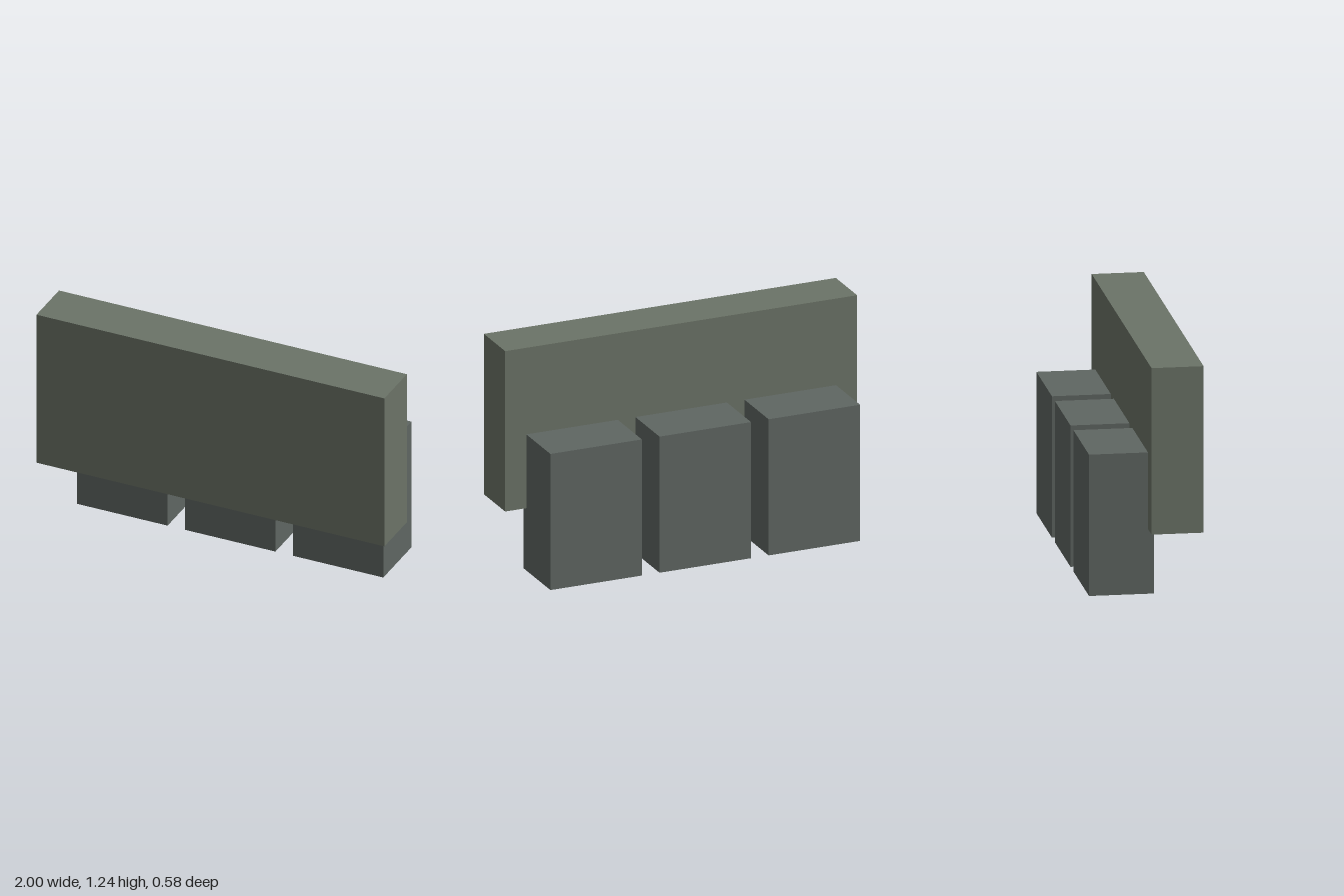
import * as THREE from 'three';

// Box given by its min and max corners
function block(name, min, max, color) {
  const size = max.map((v, i) => v - min[i]);
  const mesh = new THREE.Mesh(
    new THREE.BoxGeometry(...size),
    new THREE.MeshStandardMaterial({ color })
  );
  mesh.position.set(...min.map((v, i) => (v + max[i]) / 2));
  mesh.name = name;
  return mesh;
}

export function createModel() {
  const model = new THREE.Group();
  model.name = 'panelWithBlocks';

  // Wide upright slab at the front
  model.add(block('frontPanel', [-1, 0.347, 0.018], [1, 1.24, 0.292], 0x6b7367));

  // Three standing blocks, set slightly into the back of the panel
  const names = ['rightBlock', 'middleBlock', 'leftBlock'];
  names.forEach((name, i) => {
    const x = (i - 1) * 0.62;
    model.add(block(name, [x - 0.26, 0, -0.292], [x + 0.26, 0.758, 0.051], 0x5f6662));
  });

  return model;
}
